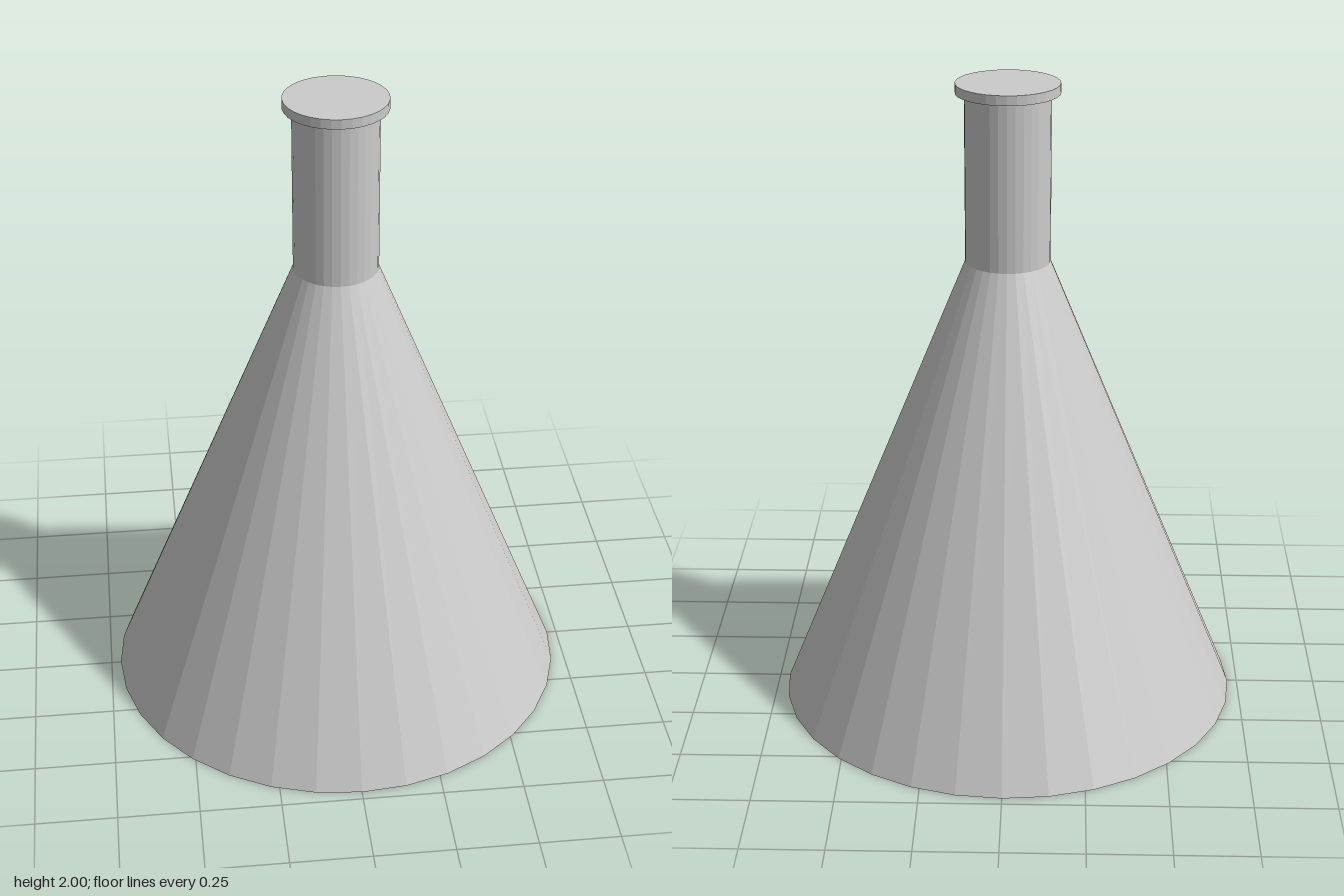
import * as THREE from 'three';

const SIDES = 32;

export function createModel() {
  const flask = new THREE.Group();
  flask.name = 'conicalFlask';
  const material = new THREE.MeshStandardMaterial({ color: 0xcccccc, flatShading: true });

  // Each part is a faceted round section standing between two heights
  const addSection = (name, topRadius, bottomRadius, bottom, top, open = false) => {
    const geometry = new THREE.CylinderGeometry(topRadius, bottomRadius, top - bottom, SIDES, 1, open);
    const mesh = new THREE.Mesh(geometry, material);
    mesh.name = name;
    mesh.position.y = (bottom + top) / 2;
    flask.add(mesh);
  };

  // Wide tapered body with a flat base
  addSection('body', 0.13, 0.72, 0, 1.45);
  // Straight neck, closed by the body and the lip
  addSection('neck', 0.13, 0.13, 1.45, 1.97, true);
  // Thin overhanging lip with a closed top
  addSection('lip', 0.157, 0.157, 1.97, 2);

  return flask;
}
